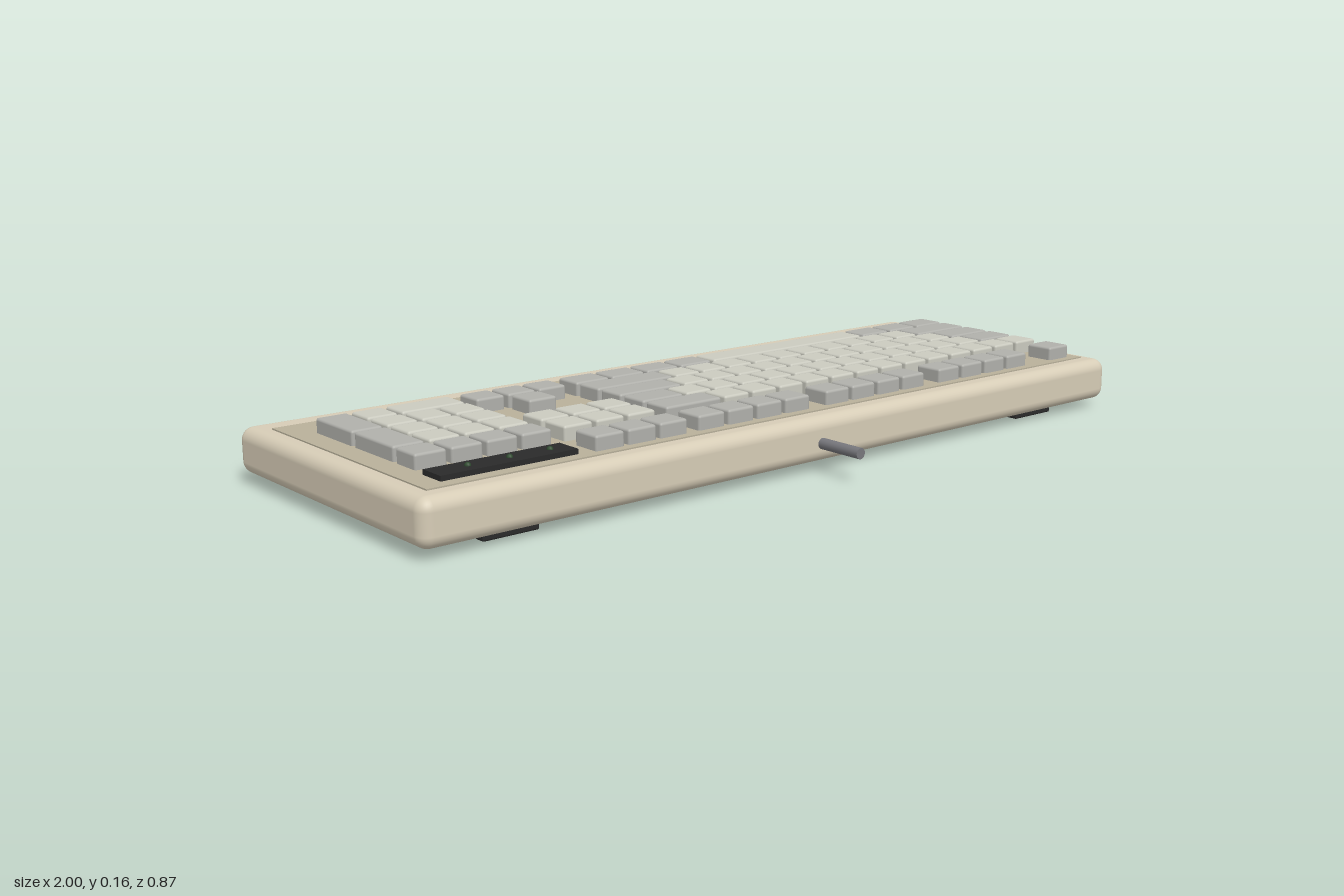
import * as THREE from 'three';
import { RoundedBoxGeometry } from 'three/addons/geometries/RoundedBoxGeometry.js';

const mat = (color) => {
  const m = new THREE.MeshStandardMaterial();
  m.color.set(color);
  return m;
};

export function createModel() {
  const model = new THREE.Group();
  const beige = mat(0xd6ccb6), tan = mat(0xb8b09a), light = mat(0xcacabf), grey = mat(0xb0b0ab);
  const black = mat(0x2a2a2a), cableGrey = mat(0x77777c), labelGrey = mat(0x5a5a5a), green = mat(0x2f4a2f);

  const add = (parent, name, geometry, material, x, y, z) => {
    const mesh = new THREE.Mesh(geometry, material);
    mesh.name = name;
    mesh.position.set(x, y, z);
    parent.add(mesh);
  };

  // Case and the plate the keys sit on
  add(model, 'case', new RoundedBoxGeometry(2, 0.102, 0.753, 4, 0.028), beige, 0, 0.072, -0.059);
  add(model, 'keyPlate', new THREE.BoxGeometry(1.914, 0.03, 0.625), tan, 0, 0.111, -0.045);

  // Keys: columns are counted in key units from the +x end towards -x
  const unit = 0.082, gap = 0.01, startX = 0.935;
  const rowZ = { top: 0.211, digits: 0.103, upper: 0.021, home: -0.061, lower: -0.143, space: -0.225 };
  const keys = new THREE.Group();
  keys.name = 'keys';
  model.add(keys);
  const shapes = {};
  const key = (row, col, w, material, depth = 1) => {
    const id = w + 'x' + depth;
    shapes[id] ??= new RoundedBoxGeometry(w * unit - gap, 0.04, depth * unit - gap, 2, 0.006);
    add(keys, 'key', shapes[id], material,
      startX - (col + w / 2) * unit, 0.138, rowZ[row] - (depth - 1) * unit / 2);
  };
  const run = (row, col, count, material, w = 1) => {
    for (let i = 0; i < count; i++) key(row, col + i * w, w, material);
  };

  // Top row: a single key, then three groups of four
  key('top', 0, 1, grey);
  for (const col of [2, 6.5, 11]) run('top', col, 4, grey);

  // Main block: first key width, number of letter keys, last key width
  const mainRows = [
    ['digits', 0, 13, 2], ['upper', 1.5, 12, 1.5], ['home', 1.75, 11, 2.25], ['lower', 2.25, 10, 2.75],
  ];
  for (const [row, first, count, last] of mainRows) {
    if (first) key(row, 0, first, grey);
    run(row, first, count, light);
    key(row, first + count, last, grey);
  }
  run('space', 0, 3, grey, 1.25);
  key('space', 3.75, 6.25, light);
  run('space', 10, 4, grey, 1.25);

  // Navigation block and arrows
  const nav = 15.25;
  run('top', nav, 3, grey);
  run('digits', nav, 3, light);
  run('upper', nav, 3, light);
  key('lower', nav + 1, 1, grey);
  run('space', nav, 3, grey);

  // Number pad
  const pad = 18.5;
  run('digits', pad, 4, grey);
  for (const row of ['upper', 'home', 'lower']) run(row, pad, 3, light);
  key('space', pad, 2, light);
  key('space', pad + 2, 1, light);
  key('upper', pad + 3, 1, grey, 2);
  key('lower', pad + 3, 1, grey, 2);

  // Indicator strip with three lamps
  add(model, 'indicatorStrip', new THREE.BoxGeometry(0.315, 0.02, 0.064), black, -0.752, 0.127, 0.207);
  for (const x of [-0.83, -0.735, -0.64]) {
    add(model, 'indicatorLamp', new THREE.SphereGeometry(0.007, 10, 8), green, x, 0.137, 0.207);
  }

  // Cable
  const cable = new THREE.CylinderGeometry(0.0125, 0.0125, 0.137, 16).rotateX(Math.PI / 2);
  add(model, 'cable', cable, cableGrey, 0, 0.065, 0.3665);

  // Underside: feet and label
  for (const x of [-0.775, 0.775]) {
    add(model, 'frontFoot', new RoundedBoxGeometry(0.13, 0.03, 0.05, 2, 0.004), black, x, 0.015, 0.243);
    add(model, 'rearFoot', new RoundedBoxGeometry(0.13, 0.03, 0.042, 2, 0.004), black, x, 0.015, -0.36);
  }
  add(model, 'baseLabel', new THREE.BoxGeometry(0.25, 0.004, 0.14), labelGrey, 0, 0.0205, -0.05);

  return model;
}
